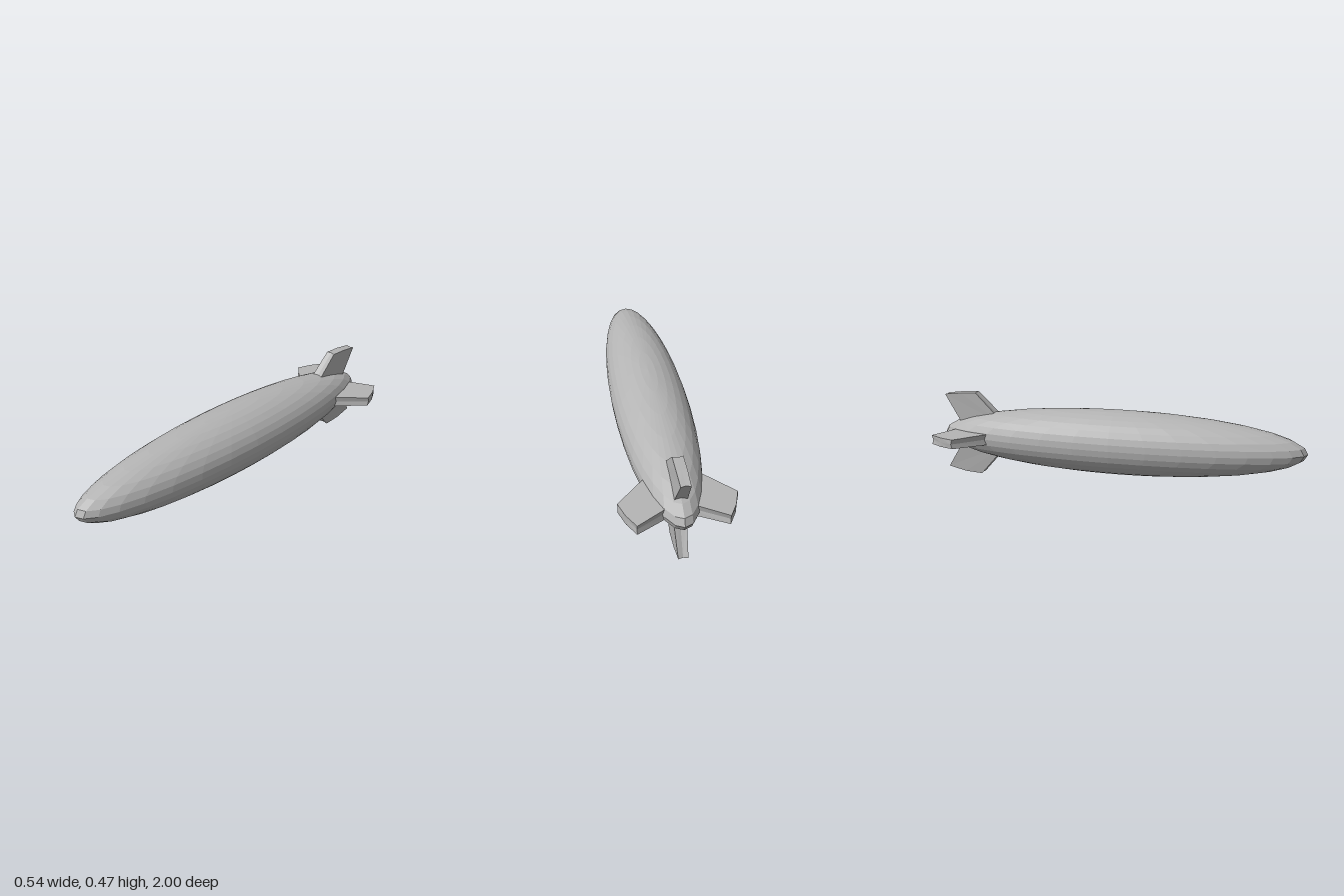
import * as THREE from 'three';

const CENTRE_Y = 0.235;

// Fin growing along +y from the hull axis; outline is [radius, z, half thickness],
// running root lead, tip lead, tip middle, tip trail, root trail.
function finGeometry(outline) {
  const n = outline.length;
  const layer = (side) => outline.map(([r, z, t], i) => {
    // The middle line of the leading and trailing edges is pressed in slightly
    const inset = side !== 0 ? 0 : i < 2 ? -0.007 : i > 2 ? 0.007 : 0;
    return [side * t, r, z + inset];
  });
  const layers = [layer(-1), layer(0), layer(1)];
  const pos = [];
  const tri = (a, b, c) => pos.push(...a, ...b, ...c);

  // Broad faces
  const [left, , right] = layers;
  for (let i = 1; i < n - 1; i++) {
    tri(left[0], left[i], left[i + 1]);
    tri(right[0], right[i + 1], right[i]);
  }
  // Two-facet rim
  for (let k = 0; k < 2; k++) {
    const a = layers[k], b = layers[k + 1];
    for (let i = 0; i < n; i++) {
      const j = (i + 1) % n;
      tri(a[i], b[i], b[j]);
      tri(a[i], b[j], a[j]);
    }
  }
  const geo = new THREE.BufferGeometry();
  geo.setAttribute('position', new THREE.Float32BufferAttribute(pos, 3));
  geo.computeVertexNormals();
  return geo;
}

export function createModel() {
  const model = new THREE.Group();
  model.name = 'airship';
  const grey = new THREE.MeshStandardMaterial({ color: 0xb4b4b4, flatShading: true });
  grey.name = 'hull grey';

  // Hull: faceted, slightly flattened ellipsoid
  const hull = new THREE.Mesh(new THREE.SphereGeometry(1, 32, 16).scale(0.2, 0.172, 1), grey);
  hull.name = 'hull';
  hull.position.y = CENTRE_Y;
  model.add(hull);

  // Tail fins
  const upper = [[0.05, -0.62, 0.032], [0.23, -0.8, 0.025], [0.227, -0.89, 0.025],
    [0.215, -0.985, 0.023], [0.02, -0.867, 0.032]];
  const lower = [[0.05, -0.62, 0.032], [0.235, -0.785, 0.025], [0.228, -0.885, 0.025],
    [0.205, -0.985, 0.023], [0.02, -0.867, 0.032]];
  const side = [[0.05, -0.605, 0.032], [0.272, -0.835, 0.025], [0.245, -0.915, 0.025],
    [0.205, -0.985, 0.025], [0.02, -0.877, 0.032]];
  const fins = [
    ['upperFin', upper, 0],
    ['lowerFin', lower, Math.PI],
    ['leftFin', side, -Math.PI / 2],
    ['rightFin', side, Math.PI / 2],
  ];
  for (const [name, outline, angle] of fins) {
    const fin = new THREE.Mesh(finGeometry(outline), grey);
    fin.name = name;
    fin.position.y = CENTRE_Y;
    fin.rotation.z = angle;
    model.add(fin);
  }
  return model;
}
